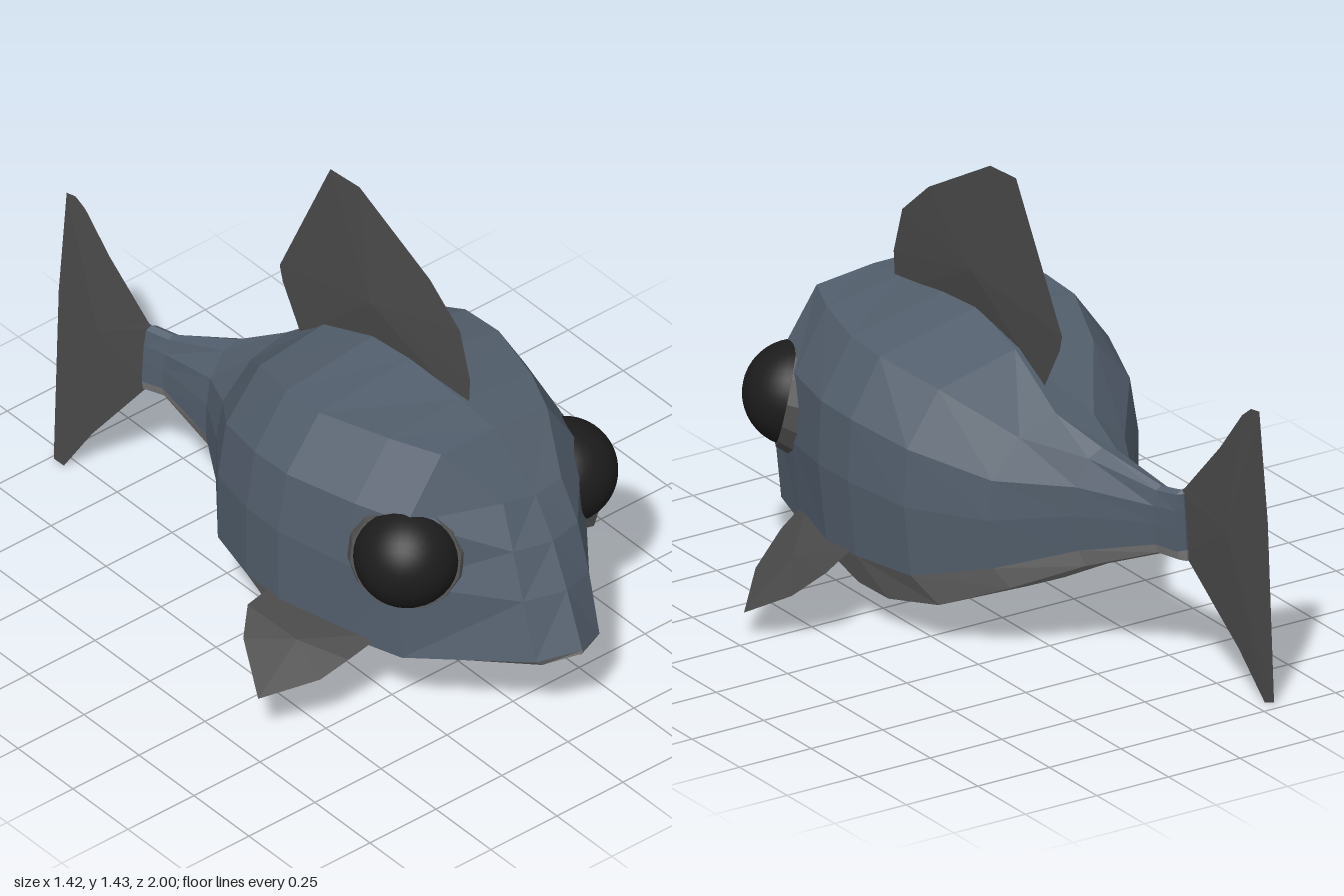
import * as THREE from 'three';

const mat = (color) => new THREE.MeshStandardMaterial({ color, flatShading: true, side: THREE.DoubleSide });
const lerp = THREE.MathUtils.lerp;
const ROLL = 0.055; // the fish leans slightly to one side

// Stations, tail to snout:
// zTop, zLow, cornerY, crown, bottomY, seamY, cornerHalfWidth, halfWidth, centreX
const STATIONS = [
  [-0.70, -0.70, 0.600, 0.01, 0.385, 0.42, 0.00, 0.000, -0.175],
  [-0.69, -0.69, 0.600, 0.01, 0.385, 0.42, 0.02, 0.028, -0.175],
  [-0.62, -0.62, 0.595, 0.01, 0.390, 0.425, 0.02, 0.032, -0.150],
  [-0.42, -0.42, 0.650, 0.02, 0.300, 0.37, 0.05, 0.105, -0.080],
  [-0.28, -0.28, 0.705, 0.04, 0.220, 0.32, 0.13, 0.250, -0.015],
  [-0.10, -0.10, 0.840, 0.05, 0.130, 0.28, 0.27, 0.410, 0],
  [0.10, 0.10, 0.895, 0.06, 0.080, 0.29, 0.34, 0.470, 0],
  [0.25, 0.25, 0.905, 0.05, 0.080, 0.29, 0.34, 0.475, 0],
  [0.47, 0.47, 0.905, 0.025, 0.185, 0.25, 0.27, 0.410, 0.01],
  [0.62, 0.65, 0.900, 0.01, 0.210, 0.25, 0.20, 0.350, 0.015],
  [0.75, 0.94, 0.740, -0.01, 0.260, 0.285, 0.11, 0.125, 0.06],
  [0.76, 1.00, 0.730, 0, 0.295, 0.31, 0, 0, 0.065],
];

// Half cross-section from crown to keel, on side s
function section([zT, zB, T, crown, B, S, c, w, cx], s) {
  return [
    [0, T + crown], [c, T], [lerp(c, w, 0.85), lerp(S, T, 0.72)], [w, lerp(S, T, 0.4)],
    [w * 0.97, S], [w * 0.75, lerp(S, B, 0.8)], [0, B],
  ].map(([u, y]) => {
    const t = THREE.MathUtils.clamp((T - y) / (T - S), 0, 1);
    const z = lerp(zT, zB, Math.pow(t, 0.8));
    return [cx + s * u + (y - 0.5) * ROLL, y - s * u * ROLL, z];
  });
}

// Skin between two lengthwise lines of the sections, both sides
function skin(name, from, to, material) {
  const pos = [];
  for (const s of [1, -1]) {
    const rings = STATIONS.map((st) => section(st, s));
    for (let i = 0; i < rings.length - 1; i++) {
      for (let j = from; j < to; j++) {
        const a = rings[i][j], b = rings[i][j + 1], c = rings[i + 1][j], d = rings[i + 1][j + 1];
        const tris = s > 0 ? [a, c, b, b, c, d] : [a, b, c, b, d, c];
        tris.forEach((p) => pos.push(...p));
      }
    }
  }
  return meshFrom(name, pos, material);
}

function meshFrom(name, pos, material) {
  const g = new THREE.BufferGeometry();
  g.setAttribute('position', new THREE.Float32BufferAttribute(pos, 3));
  g.computeVertexNormals();
  const m = new THREE.Mesh(g, material);
  m.name = name;
  return m;
}

// Thin fin: an outline swelling to a slight ridge in the middle on both faces
function fin(name, outline, thickness, material) {
  const pts = outline.map((p) => new THREE.Vector3(...p));
  const n = pts.length;
  const mid = pts.reduce((a, p) => a.add(p), new THREE.Vector3()).divideScalar(n);
  const normal = new THREE.Vector3();
  pts.forEach((p, i) => normal.add(p.clone().sub(mid).cross(pts[(i + 1) % n].clone().sub(mid))));
  normal.normalize();
  const pos = [];
  for (const s of [1, -1]) {
    const apex = mid.clone().addScaledVector(normal, s * thickness / 2);
    pts.forEach((p, i) => {
      const q = pts[(i + 1) % n];
      for (const v of s > 0 ? [apex, p, q] : [apex, q, p]) pos.push(v.x, v.y, v.z);
    });
  }
  return meshFrom(name, pos, material);
}

// Bulging eye in a faceted socket ring
function eye(name, centre, outward, ringMat, ballMat) {
  const g = new THREE.Group();
  g.name = name;
  const socket = new THREE.Mesh(new THREE.CylinderGeometry(0.165, 0.19, 0.07, 14), ringMat);
  socket.name = 'eyeSocket';
  socket.position.y = -0.005;
  const ball = new THREE.Mesh(new THREE.SphereGeometry(0.158, 32, 20), ballMat);
  ball.name = 'eyeball';
  g.add(socket, ball);
  g.position.set(...centre);
  g.quaternion.setFromUnitVectors(new THREE.Vector3(0, 1, 0), new THREE.Vector3(...outward).normalize());
  return g;
}

export function createModel() {
  const model = new THREE.Group();
  model.name = 'fish';
  const blue = mat(0x525e6c), belly = mat(0x777777), dark = mat(0x484848), ring = mat(0x505050);
  const black = new THREE.MeshStandardMaterial({ color: 0x1c1c1c });

  // Body
  model.add(skin('upperBody', 0, 4, blue), skin('belly', 4, 6, belly));

  // Eyes
  model.add(eye('leftEye', [0.335, 0.585, 0.58], [0.82, 0.2, 0.56], ring, black));
  model.add(eye('rightEye', [-0.28, 0.595, 0.605], [-0.74, 0.22, 0.66], ring, black));

  // Dorsal fin, slightly turned and leaning
  const dorsal = [[0.49, 0.88], [0.49, 1], [0.44, 1.15], [0.31, 1.265], [0.01, 1.435], [-0.11, 1.435],
    [-0.295, 0.99], [-0.28, 0.94], [-0.2, 0.8], [0.1, 0.86]];
  model.add(fin('dorsalFin', dorsal.map(([z, y]) => [0.01 + 0.085 * z + 0.05 * (y - 0.95), y, z]), 0.045, dark));

  // Tail fin, swept sideways
  const tail = [[-0.68, 0.6], [-0.7, 0.62], [-0.84, 0.79], [-0.93, 0.92], [-0.965, 0.95], [-0.995, 0.95],
    [-1, 0.6], [-0.98, 0.01], [-0.945, 0], [-0.86, 0.15], [-0.7, 0.375], [-0.68, 0.4]];
  model.add(fin('tailFin', tail.map(([z, y]) => [-0.18 + 0.29 * (z + 0.69) + 0.07 * (y - 0.5), y, z]), 0.03, dark));

  // Side fins, each in its own stroke
  model.add(fin('leftSideFin', [[0.36, 0.3, 0.47], [0.465, 0.225, 0.465], [0.59, 0.15, 0.41], [0.71, 0.08, 0.29],
    [0.63, 0.16, 0.16], [0.55, 0.235, 0.1], [0.43, 0.28, 0.13]], 0.03, dark));
  model.add(fin('rightSideFin', [[-0.33, 0.3, 0.56], [-0.46, 0.265, 0.555], [-0.555, 0.23, 0.54], [-0.715, 0.185, 0.45],
    [-0.63, 0.265, 0.28], [-0.555, 0.31, 0.21], [-0.43, 0.33, 0.2]], 0.03, dark));

  return model;
}
